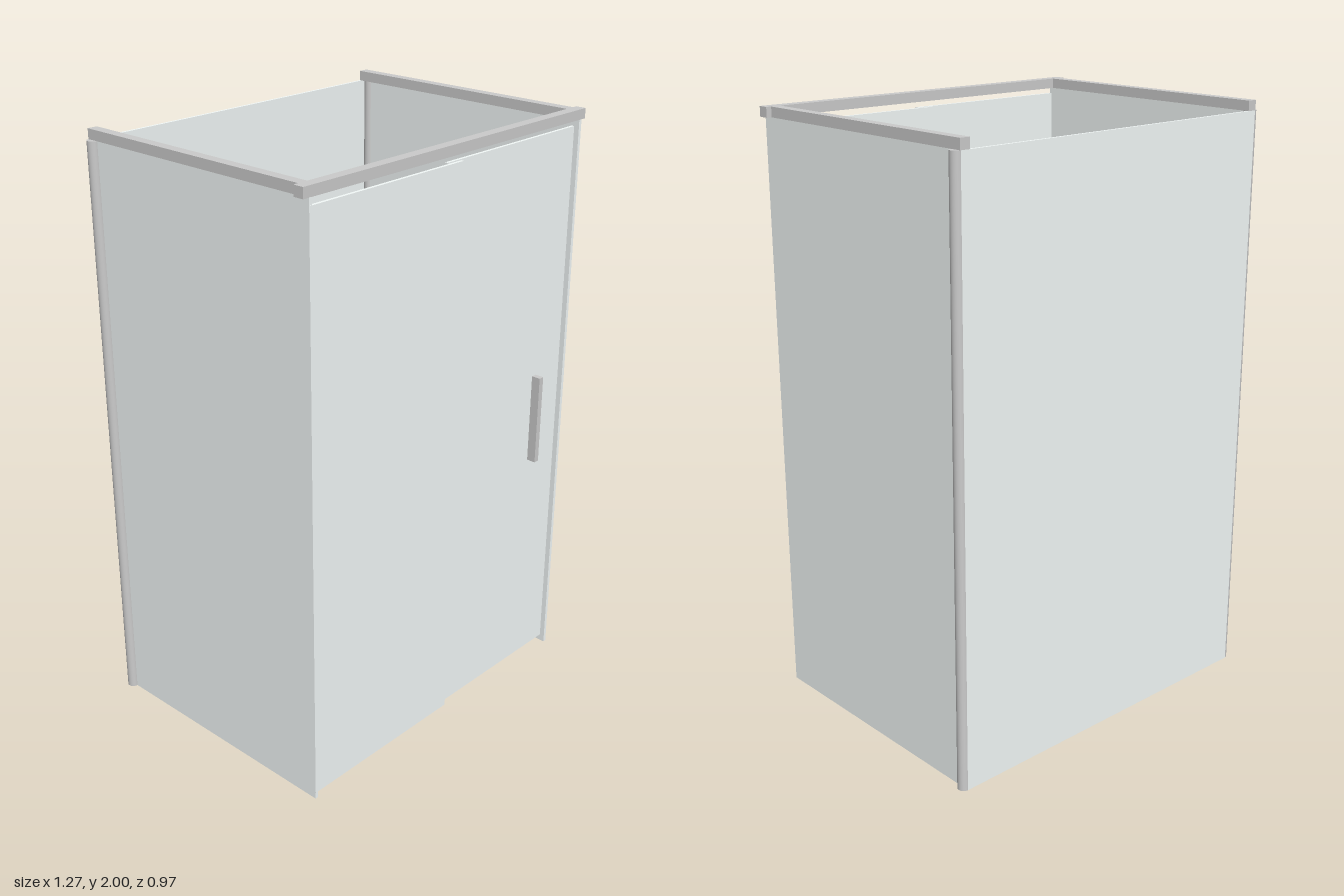
import * as THREE from 'three';

export function createModel() {
  const model = new THREE.Group();
  model.name = 'showerEnclosure';
  const glass = new THREE.MeshStandardMaterial({ color: 0xf4faf9 });
  const metal = new THREE.MeshStandardMaterial({ color: 0xeeeef1 });

  // Box given by its minimum and maximum on each axis
  function box(name, material, [x0, x1], [y0, y1], [z0, z1]) {
    const mesh = new THREE.Mesh(new THREE.BoxGeometry(x1 - x0, y1 - y0, z1 - z0), material);
    mesh.position.set((x0 + x1) / 2, (y0 + y1) / 2, (z0 + z1) / 2);
    mesh.name = name;
    model.add(mesh);
  }

  const top = 1.967; // underside of the top rails
  const back = -0.484;

  // Back wall and front panels; the door slides behind the fixed panel
  box('backPanel', glass, [-0.617, 0.617], [0, top], [back, -0.475]);
  box('fixedPanel', glass, [-0.617, 0.023], [0.023, 1.945], [0.439, 0.449]);
  box('slidingDoor', glass, [-0.028, 0.605], [0.023, 1.945], [0.42, 0.43]);
  box('doorHandle', metal, [0.423, 0.443], [0.83, 1.14], [0.453, 0.484]);

  // Top rail across the front
  box('frontRail', metal, [-0.637, 0.637], [top, 2], [0.411, 0.447]);

  // Side walls, side rails and rounded rear corner posts
  for (const side of [1, -1]) {
    const label = side > 0 ? 'left' : 'right';
    const span = (a, b) => (side > 0 ? [a, b] : [-b, -a]);
    box(label + 'SidePanel', glass, span(0.605, 0.617), [0, top], [-0.475, 0.448]);
    box(label + 'SideRail', metal, span(0.585, 0.619), [top, 2], [back, 0.411]);

    const post = new THREE.Mesh(new THREE.CylinderGeometry(0.02, 0.02, top, 24), metal);
    post.position.set(side * 0.617, top / 2, back + 0.02);
    post.name = label + 'CornerPost';
    model.add(post);
  }

  return model;
}
